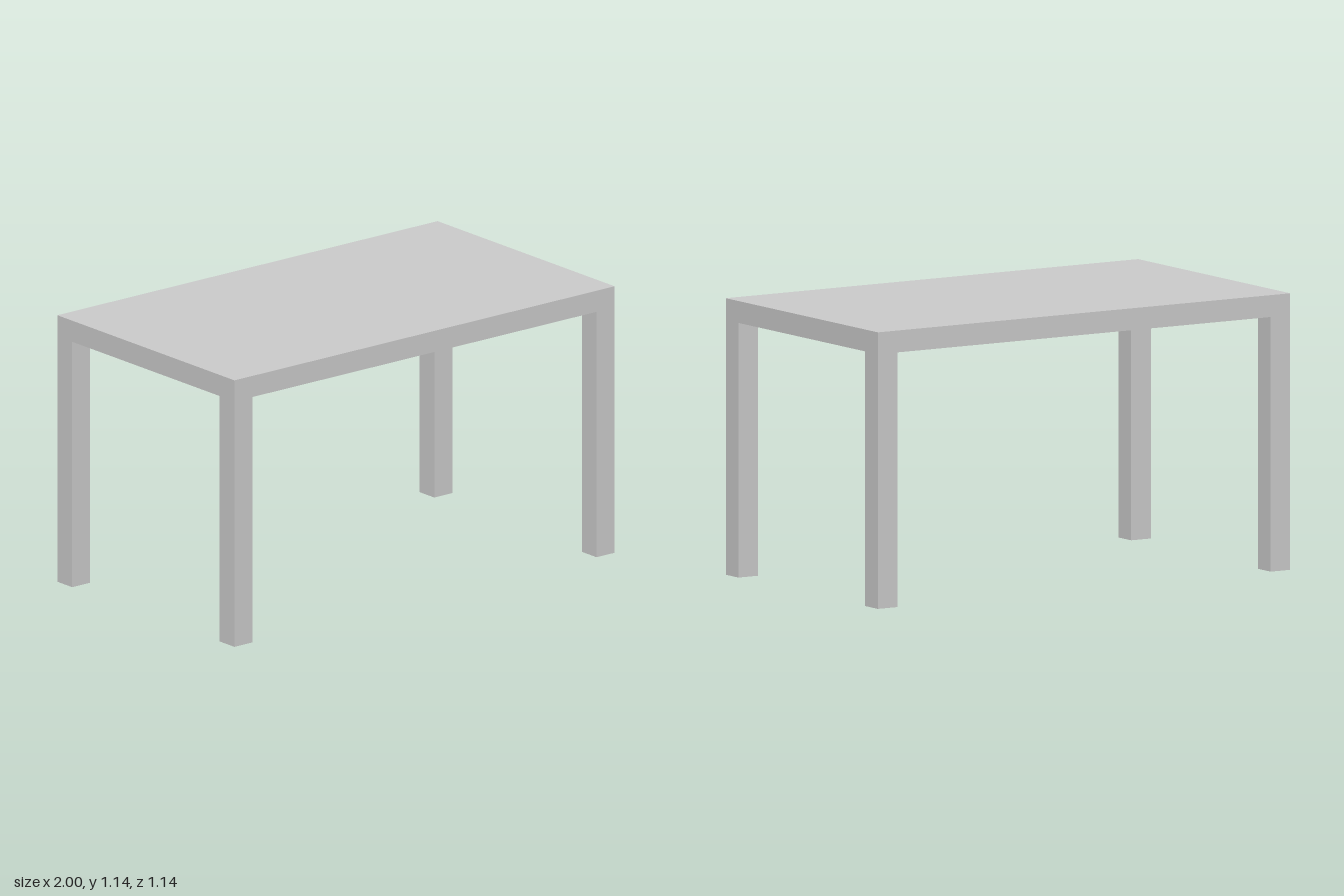
import * as THREE from 'three';

const WIDTH = 2, DEPTH = 1.136, HEIGHT = 1.137;
const SLAB = 0.09, LEG = 0.095;

export function createModel() {
  const table = new THREE.Group();
  table.name = 'table';
  const material = new THREE.MeshStandardMaterial({ color: 0xcccccc });

  const addBox = (name, w, h, d, x, y, z) => {
    const mesh = new THREE.Mesh(new THREE.BoxGeometry(w, h, d), material);
    mesh.name = name;
    mesh.position.set(x, y, z);
    table.add(mesh);
  };

  // Solid slab top
  addBox('tableTop', WIDTH, SLAB, DEPTH, 0, HEIGHT - SLAB / 2, 0);

  // Four square legs, flush with the corners of the top
  const legHeight = HEIGHT - SLAB;
  for (const [side, sx] of [['Left', 1], ['Right', -1]]) {
    for (const [end, sz] of [['front', 1], ['back', -1]]) {
      addBox(`${end}${side}Leg`, LEG, legHeight, LEG,
        sx * (WIDTH - LEG) / 2, legHeight / 2, sz * (DEPTH - LEG) / 2);
    }
  }
  return table;
}
